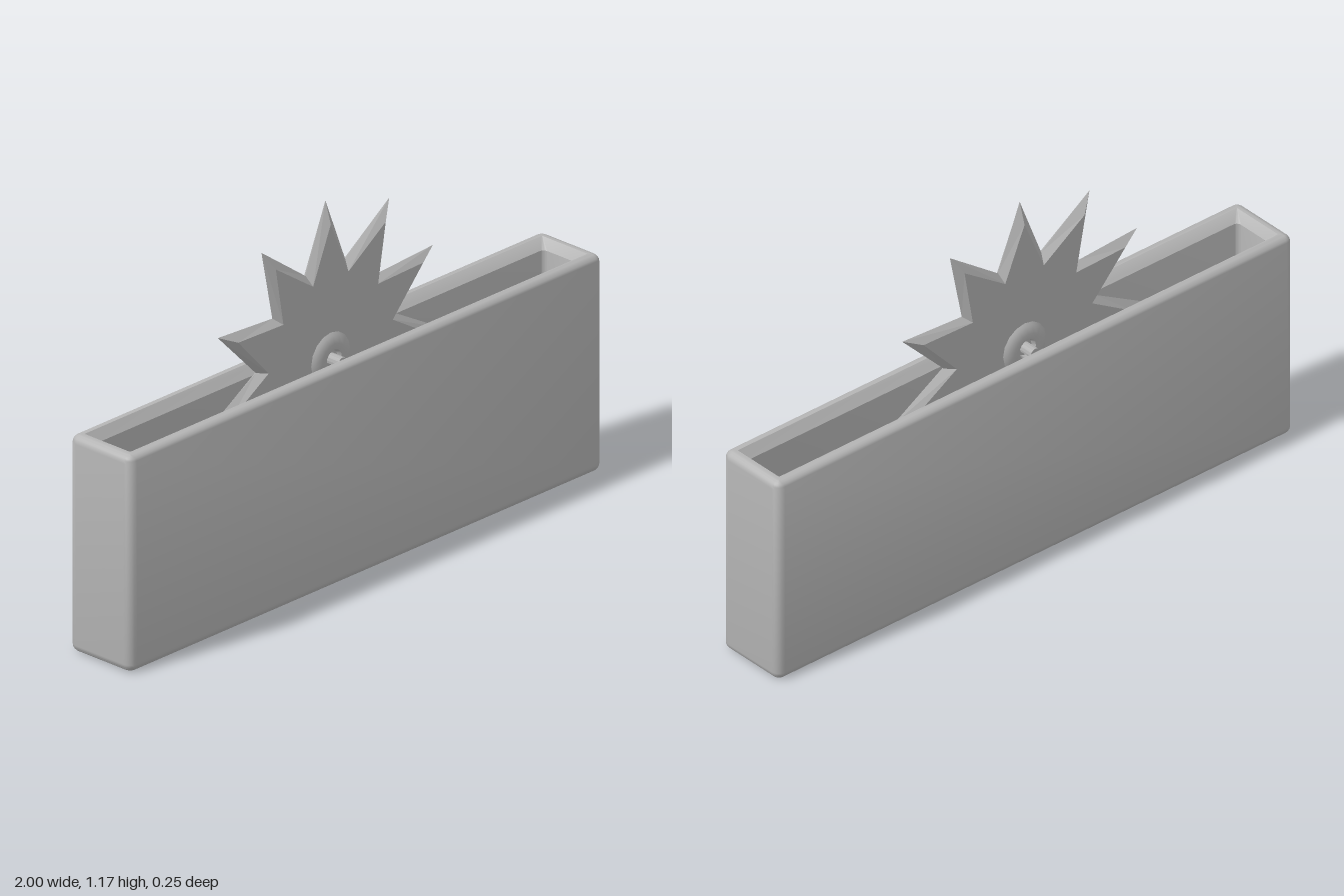
import * as THREE from 'three';
import { toCreasedNormals } from 'three/addons/utils/BufferGeometryUtils.js';

// Closed loop: a rounded rectangle at height y
function roundedLoop(hx, hz, r, y, steps = 5) {
  const loop = [];
  [[1, 1], [-1, 1], [-1, -1], [1, -1]].forEach(([sx, sz], q) => {
    for (let k = 0; k <= steps; k++) {
      const a = (q + k / steps) * Math.PI / 2;
      loop.push([sx * (hx - r) + r * Math.cos(a), y, sz * (hz - r) + r * Math.sin(a)]);
    }
  });
  return loop;
}

// Skin consecutive loops and close both ends with fans
function skin(loops, crease) {
  const pos = [];
  const tri = (...pts) => pts.forEach(p => pos.push(...p));
  const n = loops[0].length;
  const first = loops[0], last = loops[loops.length - 1];
  for (let i = 0; i < n; i++) {
    const j = (i + 1) % n;
    for (let k = 0; k < loops.length - 1; k++) {
      const a = loops[k], b = loops[k + 1];
      tri(a[i], b[i], b[j]);
      tri(a[i], b[j], a[j]);
    }
    tri([0, first[0][1], 0], first[i], first[j]);
    tri([0, last[0][1], 0], last[j], last[i]);
  }
  const g = new THREE.BufferGeometry();
  g.setAttribute('position', new THREE.Float32BufferAttribute(pos, 3));
  return toCreasedNormals(g, crease);
}

// Open trough with rounded outer edges, a bevelled mouth and a hollow inside
function troughGeometry() {
  const HX = 1, HZ = 0.125, H = 0.695, R = 0.025, steps = 5;
  const loops = [];
  for (let k = 0; k <= steps; k++) {
    const a = k / steps * Math.PI / 2, d = R * (1 - Math.sin(a));
    loops.push(roundedLoop(HX - d, HZ - d, R - d + 0.003, R * (1 - Math.cos(a))));
  }
  for (let k = 0; k <= steps; k++) {
    const a = k / steps * Math.PI / 2, d = R * (1 - Math.cos(a));
    loops.push(roundedLoop(HX - d, HZ - d, R - d + 0.003, H - R * (1 - Math.sin(a))));
  }
  loops.push(roundedLoop(0.967, 0.092, 0.003, H));
  loops.push(roundedLoop(0.947, 0.067, 0.015, H - 0.03));
  loops.push(roundedLoop(0.947, 0.067, 0.015, 0.05));
  return skin(loops, 0.6);
}

// Eleven-pointed blade: flat faces bevelled out to a sharp middle edge
function bladeGeometry(points = 11, t = 0.022) {
  const pos = [];
  const n = points * 2;
  const at = (i, tip, notch, z) => {
    const a = i / n * Math.PI * 2, r = i % 2 ? notch : tip;
    return [r * Math.sin(a), r * Math.cos(a), z];
  };
  for (const s of [1, -1]) {
    const tri = (a, b, c) => (s > 0 ? [a, b, c] : [a, c, b]).forEach(p => pos.push(...p));
    for (let i = 0; i < n; i++) {
      const f0 = at(i, 0.43, 0.265, s * t), f1 = at(i + 1, 0.43, 0.265, s * t);
      const e0 = at(i, 0.5, 0.297, 0), e1 = at(i + 1, 0.5, 0.297, 0);
      tri([0, 0, s * t], f1, f0);
      tri(f0, f1, e1);
      tri(f0, e1, e0);
    }
  }
  const g = new THREE.BufferGeometry();
  g.setAttribute('position', new THREE.Float32BufferAttribute(pos, 3));
  g.computeVertexNormals();
  return g;
}

export function createModel() {
  const model = new THREE.Group();
  model.name = 'bladeInTrough';
  const grey = new THREE.MeshStandardMaterial({ color: 0xb4b4b4 });
  grey.name = 'grey';
  const add = (parent, geometry, name) => {
    const mesh = new THREE.Mesh(geometry, grey);
    mesh.name = name;
    parent.add(mesh);
    return mesh;
  };

  add(model, troughGeometry(), 'trough');

  // Wheel: blade, a raised collar on each face, and the axle between the walls
  const wheel = new THREE.Group();
  wheel.name = 'wheel';
  wheel.position.set(-0.045, 0.67, 0);
  model.add(wheel);
  add(wheel, bladeGeometry(), 'blade');

  const profile = [[0.085, 0.02], [0.075, 0.03], [0.052, 0.038], [0.032, 0.036], [0.026, 0.02]]
    .map(([r, h]) => new THREE.Vector2(r, h)).reverse();
  for (const s of [1, -1]) {
    const collar = new THREE.LatheGeometry(profile.slice().reverse(), 16);
    collar.rotateX(s * Math.PI / 2);
    add(wheel, toCreasedNormals(collar, 0.5), s > 0 ? 'frontCollar' : 'backCollar');
  }
  const axle = new THREE.CylinderGeometry(0.018, 0.018, 0.14, 12);
  axle.rotateX(Math.PI / 2);
  add(wheel, toCreasedNormals(axle, 0.6), 'axle');

  return model;
}
